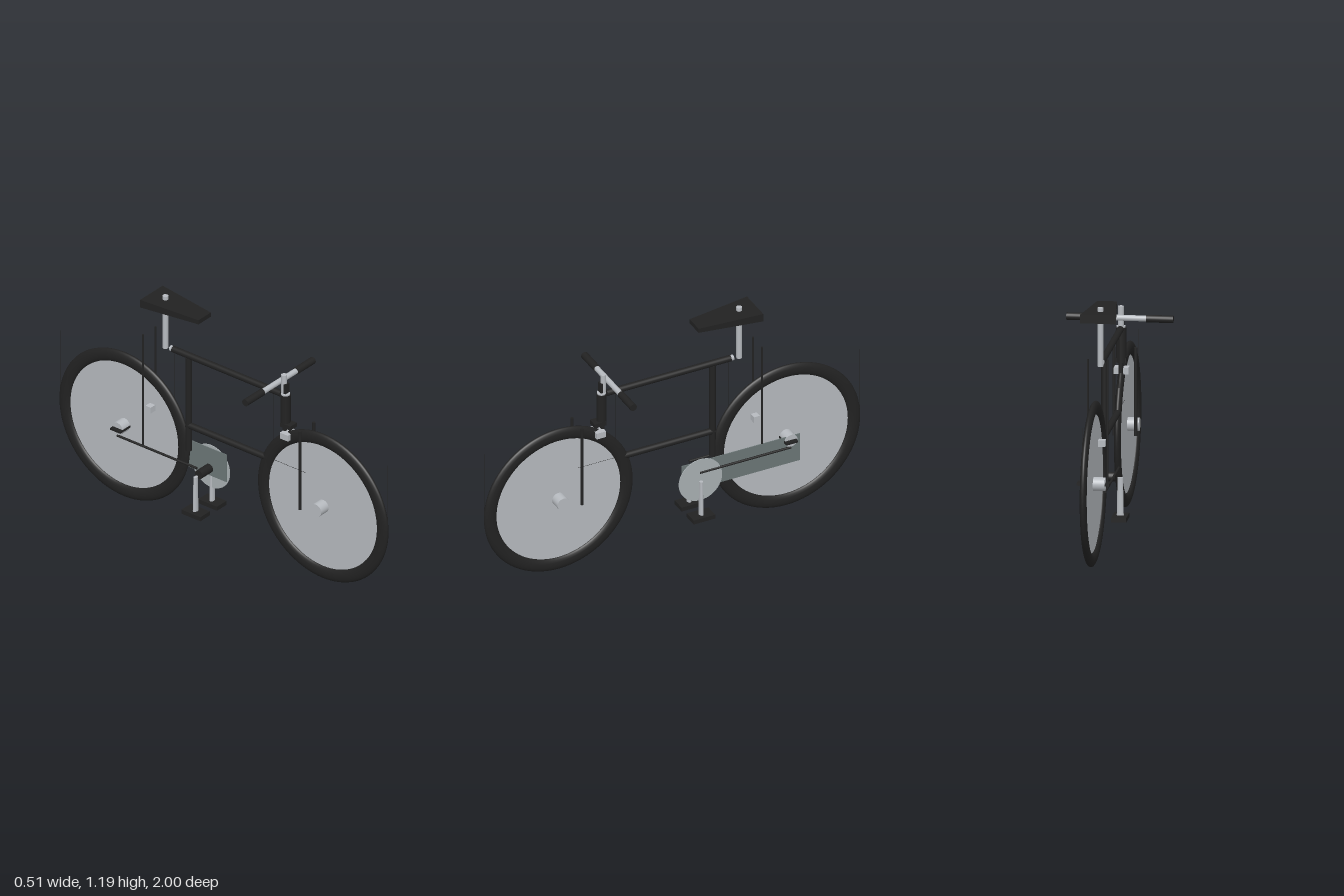
import * as THREE from 'three';

export function createModel() {
  const model = new THREE.Group();
  const mat = (name, color) => {
    const m = new THREE.MeshStandardMaterial({ color });
    m.name = name;
    return m;
  };
  const black = mat('black', 0x222222);
  const metal = mat('light metal', 0xb6babf);
  const guardGrey = mat('guard grey', 0x6c7777);
  const ringGrey = mat('chainring grey', 0xa9b0b3);

  const add = (name, geometry, material, x = 0, y = 0, z = 0) => {
    const mesh = new THREE.Mesh(geometry, material);
    mesh.name = name;
    mesh.position.set(x, y, z);
    model.add(mesh);
    return mesh;
  };
  const box = (name, material, w, h, d, x, y, z) =>
    add(name, new THREE.BoxGeometry(w, h, d), material, x, y, z);
  // Round bar between two points, optionally tapered
  const bar = (name, material, a, b, r0, r1 = r0, sides = 20) => {
    const from = new THREE.Vector3(...a), to = new THREE.Vector3(...b);
    const dir = to.clone().sub(from);
    const mesh = add(name, new THREE.CylinderGeometry(r1, r0, dir.length(), sides), material);
    mesh.position.copy(from).add(to).multiplyScalar(0.5);
    mesh.quaternion.setFromUnitVectors(new THREE.Vector3(0, 1, 0), dir.normalize());
    return mesh;
  };

  // Wheels: flattened tyre around a thin solid disc, with a hub
  const wheelY = 0.397;
  for (const [side, z] of [['front', 0.605], ['rear', -0.605]]) {
    const tyre = new THREE.TorusGeometry(0.362, 0.033, 16, 80);
    tyre.scale(1, 1, 0.5);
    tyre.rotateY(Math.PI / 2);
    add(side + 'Tyre', tyre, black, 0, wheelY, z);
    bar(side + 'WheelDisc', metal, [-0.001, wheelY, z], [0.001, wheelY, z], 0.335, 0.335, 80);
    bar(side + 'Hub', metal, [-0.057, wheelY, z], [0.057, wheelY, z], 0.033, 0.033, 32);
  }
  box('rearAxlePlate', black, 0.156, 0.01, 0.062, 0, wheelY, -0.6);

  // Frame tubes
  bar('topTube', black, [0, 0.92, 0.35], [0, 0.92, -0.31], 0.016);
  bar('topTubeEnd', metal, [0, 0.92, -0.3], [0, 0.92, -0.325], 0.014);
  bar('lowerTube', black, [0, 0.537, 0.26], [0, 0.537, -0.225], 0.016);
  bar('seatTube', black, [0, 0.4, -0.215], [0, 0.91, -0.215], 0.016);
  bar('headTube', black, [0, 0.755, 0.375], [0, 0.925, 0.375], 0.025);
  bar('headRing', metal, [0, 0.923, 0.375], [0, 0.932, 0.375], 0.022);

  // Fork crown, brakes, fork blades and stays
  box('forkCrown', black, 0.05, 0.022, 0.062, 0, 0.765, 0.393);
  bar('steerer', black, [0, 0.7, 0.37], [0, 0.76, 0.37], 0.011);
  box('frontBrake', metal, 0.07, 0.032, 0.05, 0, 0.712, 0.393);
  box('rearBrake', metal, 0.07, 0.032, 0.032, 0, 0.556, -0.434);
  for (const s of [-1, 1]) {
    bar('forkBlade', black, [s * 0.052, 0.365, 0.505], [s * 0.052, 0.795, 0.505], 0.008);
    bar('seatStay', black, [s * 0.047, 0.36, -0.455], [s * 0.047, 0.968, -0.455], 0.005);
    bar('chainStay', black, [s * 0.056, 0.36, -0.12], [s * 0.056, 0.36, -0.605], 0.006);
  }

  // Handlebar
  bar('stem', metal, [0, 0.92, 0.366], [0, 1.03, 0.366], 0.014);
  box('stemClamp', black, 0.03, 0.05, 0.012, 0, 0.96, 0.38);
  bar('handlebar', metal, [-0.25, 0.98, 0.335], [0.25, 0.98, 0.335], 0.014);
  for (const s of [-1, 1])
    bar('grip', black, [s * 0.126, 0.98, 0.335], [s * 0.255, 0.98, 0.335], 0.018);

  // Saddle: tapered slab, narrow and thinner towards the front
  const saddle = new THREE.BoxGeometry(0.17, 0.042, 0.325);
  const p = saddle.attributes.position;
  for (let i = 0; i < p.count; i++)
    if (p.getZ(i) > 0) p.setXY(i, p.getX(i) * 0.55, p.getY(i) * 0.55);
  saddle.computeVertexNormals();
  add('saddle', saddle, black, 0, 1.159, -0.28);
  bar('seatPost', metal, [0, 0.91, -0.357], [0, 1.196, -0.357], 0.014);

  // Drivetrain
  bar('bottomBracket', black, [-0.04, 0.316, -0.122], [0.04, 0.316, -0.122], 0.023);
  box('chainGuard', guardGrey, 0.004, 0.15, 0.63, 0.05, 0.346, -0.34);
  bar('chainring', ringGrey, [0.053, 0.32, -0.123], [0.057, 0.32, -0.123], 0.115, 0.115, 48);
  for (const s of [-1, 1]) {
    bar('crank', metal, [s * 0.063, 0.125, -0.122], [s * 0.063, 0.315, -0.122], 0.017, 0.013)
      .scale.z = 0.65;
    box('pedal', black, 0.072, 0.022, 0.115, s * 0.063, 0.119, -0.122);
  }

  // Thin cables
  const cable = (a, b) => bar('cable', black, a, b, 0.0015, 0.0015, 6);
  for (const s of [-1, 1]) {
    cable([0, 0.64, s * 0.3], [0, 0.94, s * 0.3]);
    cable([0, 0.4, s * 0.998], [0, 0.765, s * 0.998]);
  }
  cable([0, 0.54, 0.5], [0, 0.54, 0.23]);

  return model;
}
